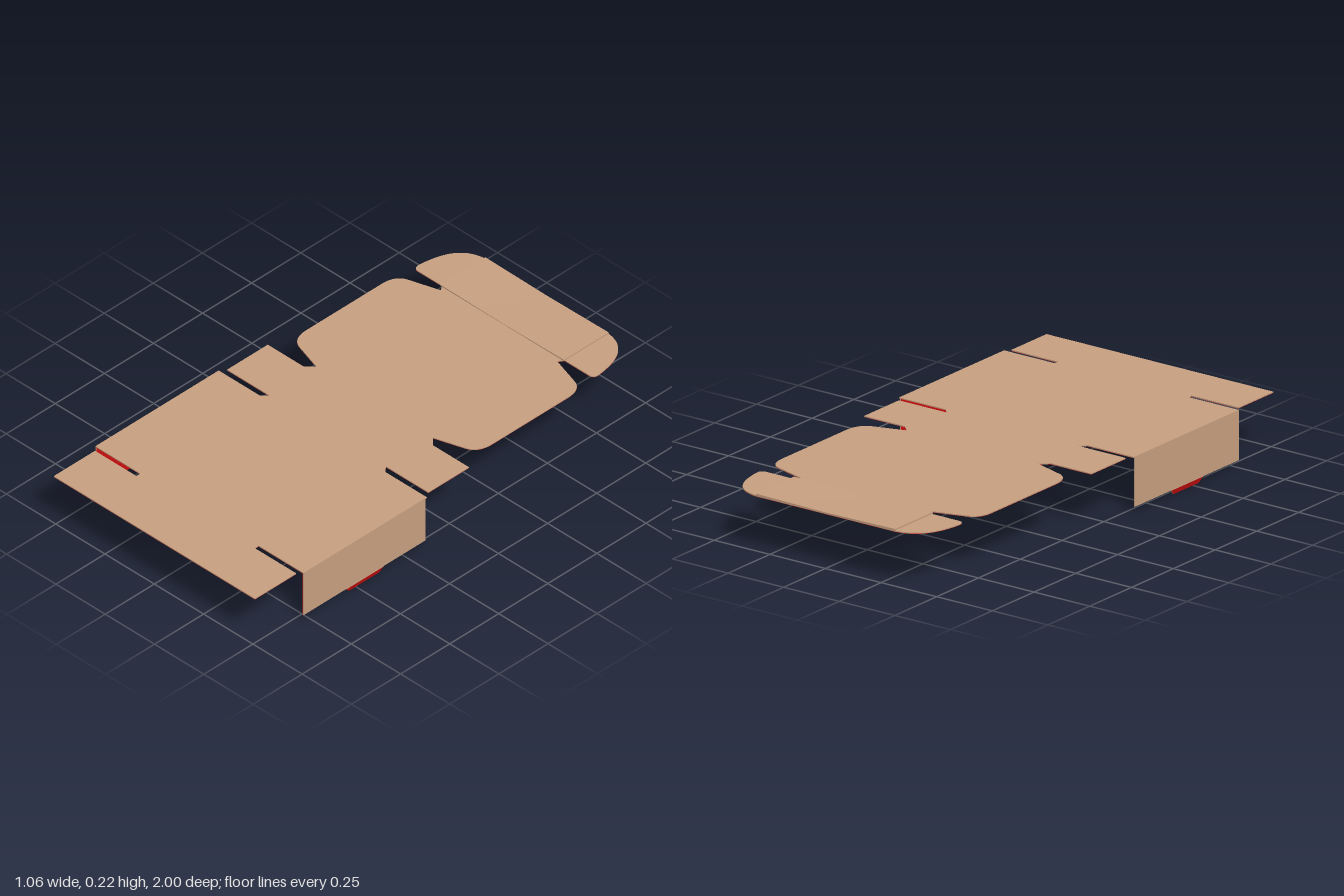
import * as THREE from 'three';

const T = 0.004; // board thickness
const TOP = 0.212; // height of the flat sheet's upper face

export function createModel() {
  const model = new THREE.Group();
  model.name = 'unfoldedCarton';
  const card = new THREE.MeshStandardMaterial({ color: 0xc8a080 });
  card.name = 'plain cardboard';
  const print = new THREE.MeshStandardMaterial({ color: 0xcc0e0e, side: THREE.DoubleSide });
  print.name = 'red lining';

  const add = (parent, geometry, material, name) => {
    const mesh = new THREE.Mesh(geometry, material);
    mesh.name = name;
    parent.add(mesh);
    return mesh;
  };

  // Half outline of the flat blank, drawn in (x, -z) from front to back
  const half = new THREE.Path();
  half.moveTo(0.51, -1);
  const line = (...pts) => pts.forEach(([x, z]) => half.lineTo(x, -z));
  const curve = (cx, cz, x, z) => half.quadraticCurveTo(cx, -cz, x, -z);
  // front flap, slit, main panel, slit, rear wall
  line([0.51, 0.79], [0.3, 0.79], [0.3, 0.77], [0.528, 0.77], [0.528, 0.142],
    [0.318, 0.142], [0.295, 0.117], [0.51, 0.117], [0.51, -0.09], [0.327, -0.09], [0.295, -0.122]);
  // lid panel with rounded corners
  line([0.42, -0.161]);
  curve(0.472, -0.178, 0.472, -0.25);
  line([0.472, -0.63]);
  curve(0.472, -0.7, 0.425, -0.715);
  line([0.295, -0.755], [0.31, -0.778], [0.435, -0.778]);
  // rounded ear of the tuck flap
  curve(0.458, -0.78, 0.456, -0.805);
  half.bezierCurveTo(0.445, 0.93, 0.4, 0.99, 0.315, 1);

  const right = half.getPoints(14);
  const left = right.map((p) => new THREE.Vector2(-p.x, p.y)).reverse();
  const outline = new THREE.Shape([...right, ...left]);

  const blank = new THREE.Group();
  blank.name = 'flatBlank';
  model.add(blank);
  const board = new THREE.ExtrudeGeometry(outline, { depth: T, bevelEnabled: false });
  add(blank, board.rotateX(-Math.PI / 2), card, 'blankBoard').position.y = TOP - T;
  const lining = new THREE.ShapeGeometry(outline).rotateX(-Math.PI / 2);
  add(blank, lining, print, 'blankLining').position.y = TOP - T - 0.0008;

  // Tuck flap centre, raised a little towards both side creases
  const tuck = new THREE.BoxGeometry(0.626, 0.002, 0.228, 2, 1, 1);
  const tp = tuck.attributes.position;
  for (let i = 0; i < tp.count; i++) {
    if (tp.getY(i) > 0) tp.setY(i, 0.001 + 0.004 * Math.abs(tp.getX(i)) / 0.313);
  }
  tuck.computeVertexNormals();
  add(model, tuck, card, 'tuckFlap').position.set(0, TOP + 0.001, -0.886);

  // Side walls folded down, each with a turned tab at its lower edge
  for (const s of [1, -1]) {
    const wall = new THREE.Group();
    wall.name = s > 0 ? 'leftWall' : 'rightWall';
    model.add(wall);
    add(wall, new THREE.BoxGeometry(T, 0.19, 0.622), card, 'wallBoard').position.set(s * 0.526, 0.115, 0.459);
    const inner = add(wall, new THREE.PlaneGeometry(0.622, 0.19), print, 'wallLining');
    inner.rotation.y = -s * Math.PI / 2;
    inner.position.set(s * 0.5232, 0.115, 0.459);

    // trapezoid tab: red outside, cardboard inside
    const tabShape = new THREE.Shape([[-0.095, 0.021], [-0.075, 0], [0.075, 0], [0.095, 0.021]]
      .map(([x, y]) => new THREE.Vector2(x, y)));
    const tab = new THREE.Group();
    tab.name = 'lockTab';
    tab.position.set(s * 0.5235, 0, 0.459);
    tab.rotation.set(0, s * Math.PI / 2, 0);
    tab.rotateX(0.28);
    add(tab, new THREE.ExtrudeGeometry(tabShape, { depth: 0.003, bevelEnabled: false }), card, 'tabBoard')
      .position.z = -0.003;
    add(tab, new THREE.ShapeGeometry(tabShape), print, 'tabLining').position.z = 0.0006;
    wall.add(tab);
  }
  return model;
}
